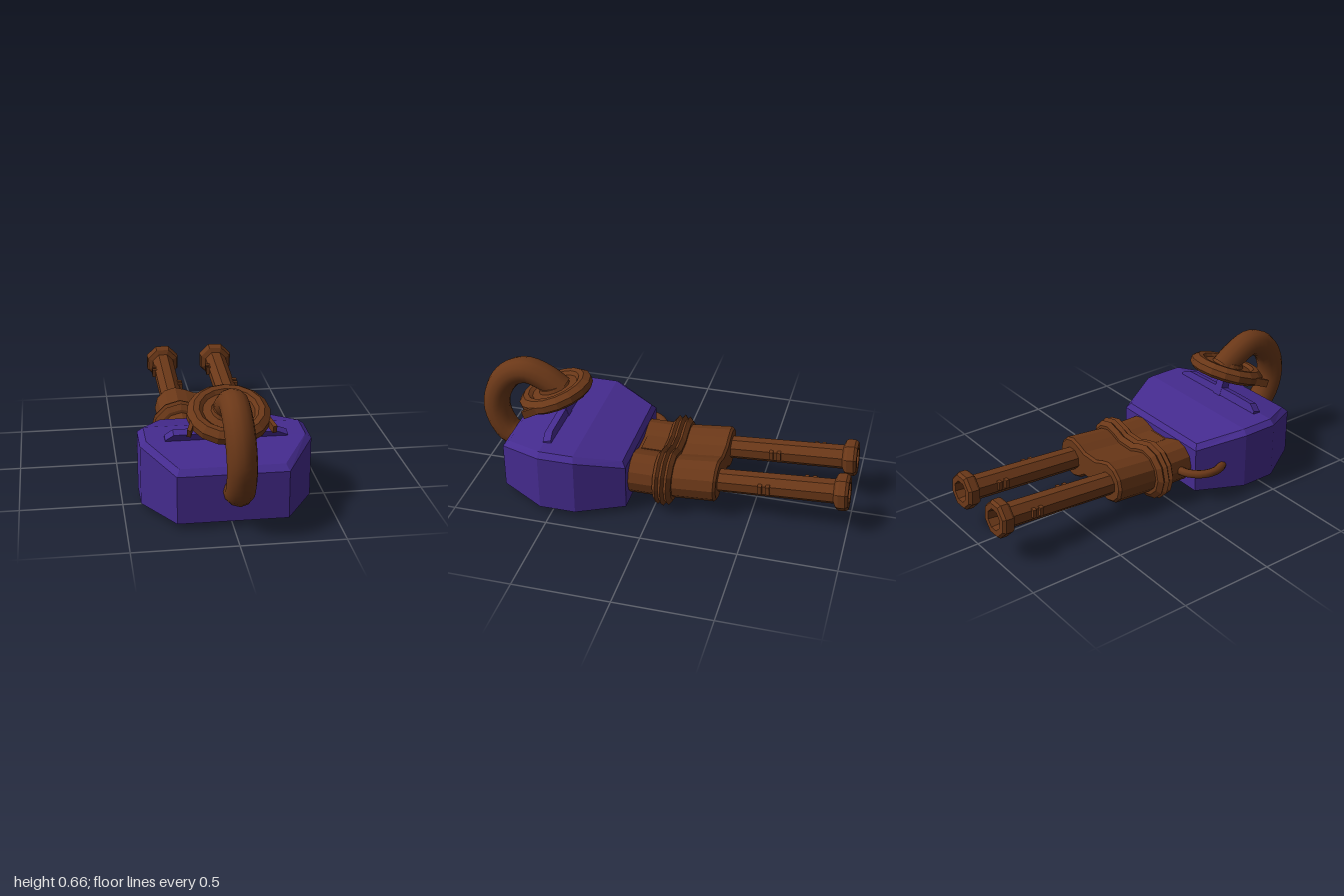
import * as THREE from 'three';

const brown = new THREE.MeshStandardMaterial({ color: 0x6b3818, flatShading: true });
const brownSmooth = new THREE.MeshStandardMaterial({ color: 0x6b3818 });
const purple = new THREE.MeshStandardMaterial({ color: 0x452b8f, flatShading: true });

function part(parent, name, geometry, material, x = 0, y = 0, z = 0) {
  const mesh = new THREE.Mesh(geometry, material);
  mesh.name = name;
  mesh.position.set(x, y, z);
  parent.add(mesh);
  return mesh;
}

// Skin a list of closed rings, with a fan cap at each end
function loft(rings) {
  const out = [];
  const tri = (...pts) => pts.forEach((p) => out.push(...p));
  const middle = (ring) => [0, 1, 2].map((k) => ring.reduce((s, p) => s + p[k], 0) / ring.length);
  const n = rings[0].length;
  const first = rings[0], last = rings[rings.length - 1];
  const c0 = middle(first), c1 = middle(last);
  for (let j = 0; j < n; j++) {
    const k = (j + 1) % n;
    for (let i = 0; i + 1 < rings.length; i++) {
      const r = rings[i], s = rings[i + 1];
      tri(r[j], s[j], r[k]);
      tri(r[k], s[j], s[k]);
    }
    tri(c0, first[j], first[k]);
    tri(c1, last[k], last[j]);
  }
  const g = new THREE.BufferGeometry();
  g.setAttribute('position', new THREE.Float32BufferAttribute(out, 3));
  g.computeVertexNormals();
  return g;
}

// Twin-lobed housing section: two round lobes joined by a lower web
function twinLobe(z, y, r) {
  const ring = [];
  const lobe = (cx, from) => {
    for (let i = 0; i <= 8; i++) {
      const a = THREE.MathUtils.degToRad(from + i * 30);
      ring.push([cx + r * Math.cos(a), y + r * Math.sin(a), z]);
    }
  };
  lobe(0.155, -120);
  ring.push([0.05, y + r - 0.035, z], [-0.05, y + r - 0.035, z]);
  lobe(-0.155, 60);
  ring.push([-0.05, y - r + 0.05, z], [0.05, y - r + 0.05, z]);
  return ring;
}

// Mirror half an outline of [x, y, z] points into a full ring
const mirrored = (half) => [...half, ...half.map(([x, y, z]) => [-x, y, z]).reverse()];

function makeBarrel(x) {
  const barrel = new THREE.Group();
  barrel.name = 'barrel';
  barrel.position.set(x, 0.18, -0.3);
  barrel.rotation.x = 0.066;
  // Octagonal tube with a bevelled, hollow muzzle nut
  const profile = [[0.06, 0], [0.064, 0.62], [0.09, 0.632], [0.097, 0.645], [0.097, 0.68],
    [0.085, 0.695], [0.055, 0.695], [0.045, 0.62], [0, 0.62]].map((p) => new THREE.Vector2(...p));
  const tube = new THREE.LatheGeometry(profile, 8, Math.PI / 8).rotateX(-Math.PI / 2);
  part(barrel, 'barrelTube', tube, brown);
  // Pairs of small side clips
  for (const [side, z] of [[-1, -0.47], [-1, -0.51], [1, -0.25], [1, -0.29]]) {
    part(barrel, 'clip', new THREE.BoxGeometry(0.03, 0.045, 0.02), brown, side * 0.06, 0.01, z);
  }
  return barrel;
}

export function createModel() {
  const model = new THREE.Group();
  model.name = 'twinBarrelTurret';

  // Body: outline, bevelled rim and sloping roof
  const outline = [[0.30, 0.27, 0.13], [0.415, 0.33, 0.37], [0.415, 0.33, 0.56], [0.265, 0.27, 0.805]];
  const inner = [[0.28, 0.298, 0.15], [0.385, 0.354, 0.38], [0.385, 0.354, 0.56], [0.25, 0.298, 0.775]];
  part(model, 'body', loft([
    mirrored(outline.map(([x, , z]) => [x, 0.032, z])),
    mirrored(outline),
    mirrored(inner),
    mirrored(inner.map(([, y, z]) => [0, y, z])),
  ]), purple);

  // Barrel housing with ridged collar
  part(model, 'barrelHousing', loft([
    [0.2, 0.16, 0.11], [0, 0.16, 0.11], [-0.002, 0.16, 0.125], [-0.022, 0.16, 0.152],
    [-0.036, 0.16, 0.137], [-0.052, 0.16, 0.158], [-0.066, 0.16, 0.138], [-0.08, 0.16, 0.15],
    [-0.1, 0.163, 0.125], [-0.1, 0.164, 0.108], [-0.315, 0.182, 0.112], [-0.328, 0.183, 0.1],
  ].map((s) => twinLobe(...s))), brown);
  part(model, 'housingPanel', new THREE.BoxGeometry(0.125, 0.03, 0.115), brown, -0.005, 0.228, 0.057);

  model.add(makeBarrel(-0.163), makeBarrel(0.152));

  // Crossbar and post under the dish
  const bar = new THREE.Shape([[-0.295, 0], [0.298, 0], [0.298, 0.012], [0.245, 0.036],
    [-0.13, 0.044], [-0.255, 0.042], [-0.295, 0.012]].map((p) => new THREE.Vector2(...p)));
  const crossbar = part(model, 'crossbar',
    new THREE.ExtrudeGeometry(bar, { depth: 0.045, bevelEnabled: false }), purple, 0, 0.358, 0.522);
  crossbar.rotation.x = 0.3;
  const post = part(model, 'dishPost', new THREE.BoxGeometry(0.05, 0.13, 0.05), purple, 0, 0.4, 0.56);
  post.rotation.x = 0.3;

  // Tilted dish with recessed top
  const dish = new THREE.Group();
  dish.name = 'dish';
  dish.position.set(0.006, 0.484, 0.59);
  dish.rotation.x = 0.35;
  const dishProfile = [[0, -0.035], [0.13, -0.042], [0.18, -0.032], [0.2, -0.015], [0.2, 0.018],
    [0.17, 0.042], [0.142, 0.04], [0.125, 0.024], [0.085, 0.028], [0.078, 0.046], [0, 0.05]];
  part(dish, 'dishRing',
    new THREE.LatheGeometry(dishProfile.map((p) => new THREE.Vector2(...p)), 16), brown);
  for (const side of [-1, 1]) {
    const tab = part(dish, 'dishTab', new THREE.BoxGeometry(0.02, 0.04, 0.13), brown,
      side * 0.182, 0, 0.06);
    tab.rotation.y = side * 0.32;
  }
  model.add(dish);

  // Thick hose looping from the body front to the dish
  const hosePath = new THREE.CatmullRomCurve3([
    [0.02, 0.17, 0.76], [0.022, 0.215, 0.865], [0.02, 0.35, 0.925], [0.015, 0.48, 0.9],
    [0.01, 0.565, 0.83], [0.008, 0.592, 0.745], [0.005, 0.56, 0.65], [0.005, 0.5, 0.56],
  ].map((p) => new THREE.Vector3(...p)));
  part(model, 'hose', new THREE.TubeGeometry(hosePath, 28, 0.071, 12), brownSmooth);

  // Thin pipe linking housing and body
  const pipePath = new THREE.CatmullRomCurve3([
    [-0.24, 0.16, 0.06], [-0.3, 0.16, 0.075], [-0.365, 0.165, 0.13],
    [-0.383, 0.17, 0.2], [-0.35, 0.17, 0.27], [-0.3, 0.17, 0.29],
  ].map((p) => new THREE.Vector3(...p)));
  part(model, 'sidePipe', new THREE.TubeGeometry(pipePath, 16, 0.022, 8), brownSmooth);

  return model;
}
